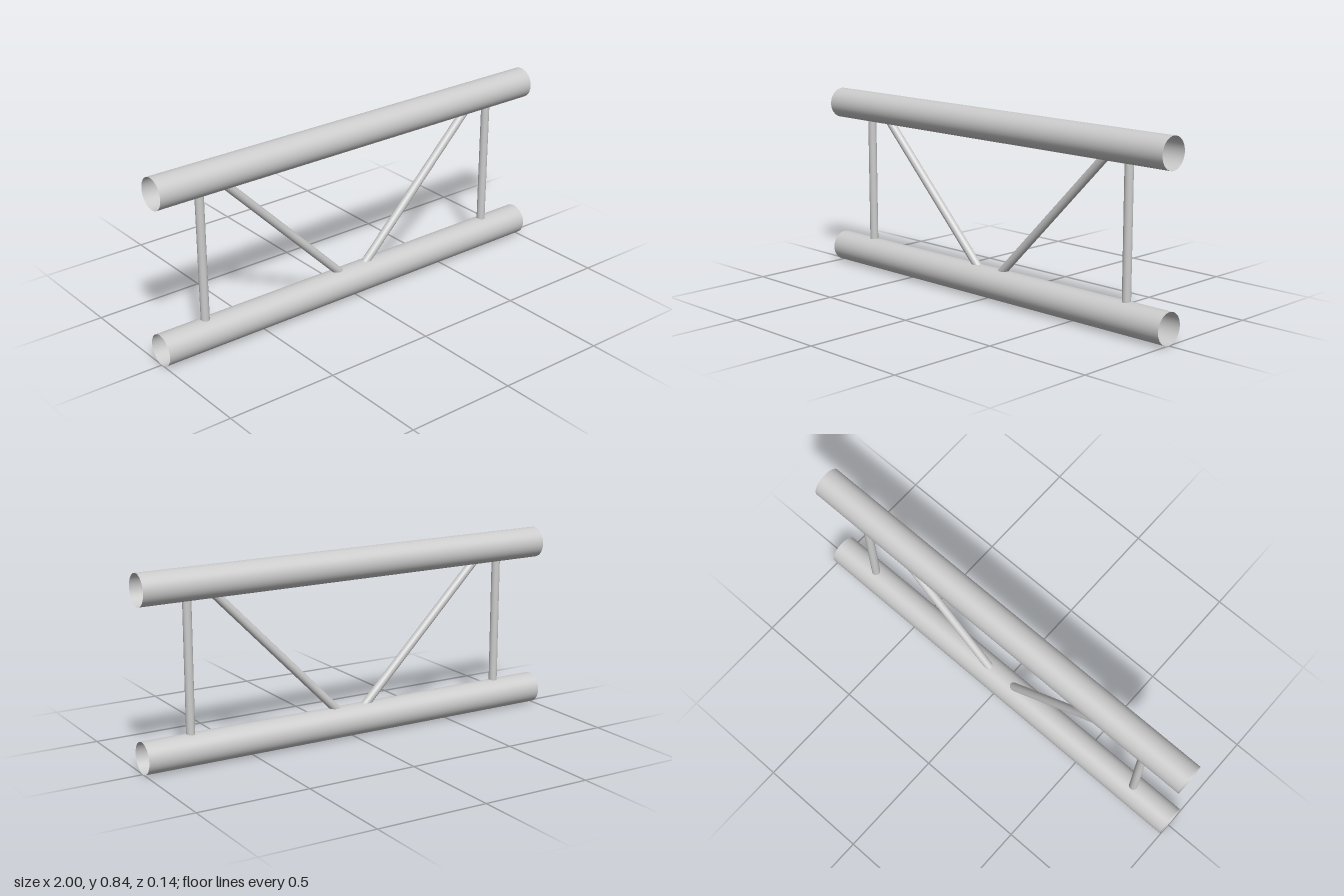
import * as THREE from 'three';

const material = new THREE.MeshStandardMaterial({ color: 0xcccccc, side: THREE.DoubleSide });

// Open round tube between two points in the z = 0 plane
function tube(name, radius, from, to, sides) {
  const a = new THREE.Vector3(from[0], from[1], 0);
  const b = new THREE.Vector3(to[0], to[1], 0);
  const axis = b.clone().sub(a);
  const mesh = new THREE.Mesh(
    new THREE.CylinderGeometry(radius, radius, axis.length(), sides, 1, true), material);
  mesh.name = name;
  mesh.position.copy(a).add(b).multiplyScalar(0.5);
  mesh.quaternion.setFromUnitVectors(new THREE.Vector3(0, 1, 0), axis.normalize());
  return mesh;
}

export function createModel() {
  const group = new THREE.Group();
  group.name = 'ladderTruss';

  const chordRadius = 0.0695, braceRadius = 0.019;
  const lowY = chordRadius, highY = 0.773;

  // Long horizontal main tubes
  group.add(tube('bottomChord', chordRadius, [-1, lowY], [1, lowY], 48));
  group.add(tube('topChord', chordRadius, [-1, highY], [1, highY], 48));

  // Mirrored uprights and diagonal braces
  for (const [side, s] of [['left', 1], ['right', -1]]) {
    group.add(tube(side + 'Upright', braceRadius, [s * 0.781, 0.128], [s * 0.781, 0.715], 32));
    group.add(tube(side + 'Diagonal', braceRadius, [s * 0.018, 0.072], [s * 0.709, 0.771], 32));
  }
  return group;
}
